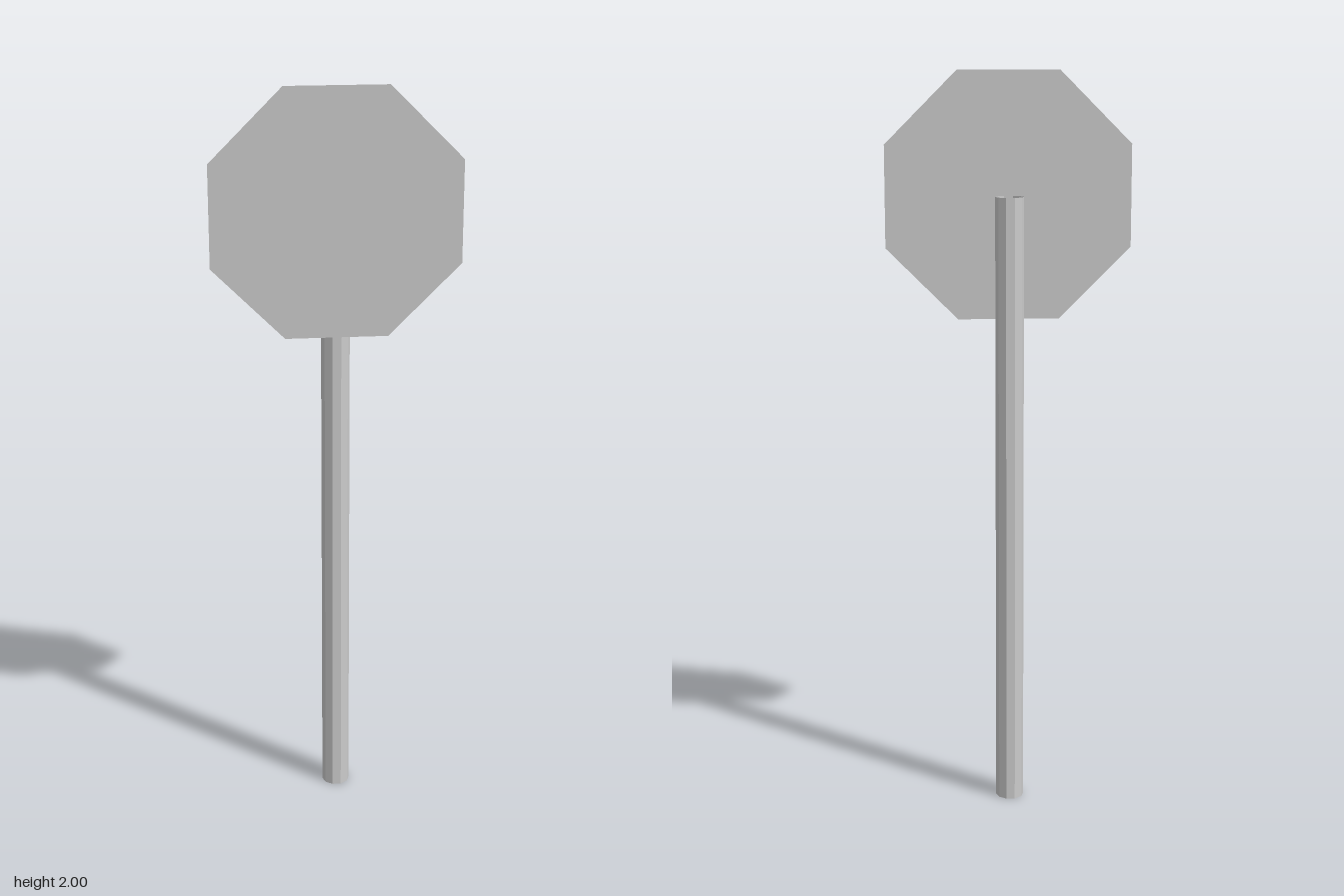
import * as THREE from 'three';

export function createModel() {
  const group = new THREE.Group();
  const material = new THREE.MeshStandardMaterial({
    color: 0xcccccc, flatShading: true, side: THREE.DoubleSide,
  });
  const add = (name, geometry, x, y, z) => {
    const mesh = new THREE.Mesh(geometry, material);
    mesh.name = name;
    mesh.position.set(x, y, z);
    group.add(mesh);
    return mesh;
  };

  // Open ten-sided tube with one facet facing the front
  const postRadius = 0.038;
  const postHeight = 1.675;
  add('post', new THREE.CylinderGeometry(postRadius, postRadius, postHeight, 10, 1, true, Math.PI / 2),
    0, postHeight / 2, 0);

  // Thin octagonal plate lying against the front facet of the post
  const halfWidth = 0.326;
  const plateRadius = halfWidth / Math.cos(Math.PI / 8);
  const facetDepth = postRadius * Math.cos(Math.PI / 10);
  add('signPlate', new THREE.CircleGeometry(plateRadius, 8, Math.PI / 8),
    0, 2 - halfWidth, facetDepth + 0.0005);

  return group;
}
